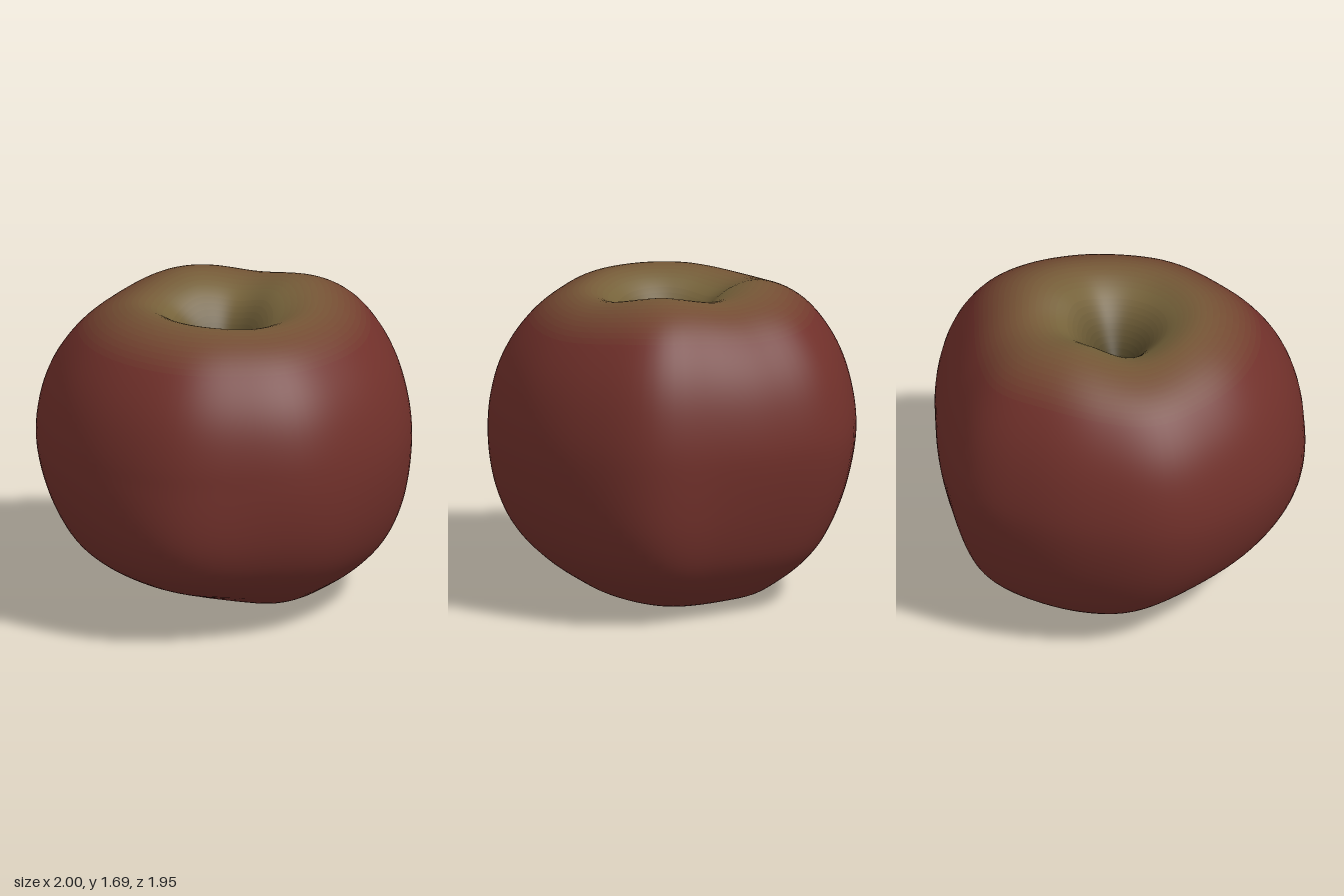
import * as THREE from 'three';

const SEG = 96, RINGS = 90;
const smooth = THREE.MathUtils.smoothstep;

// Smooth periodic lookup of values spaced evenly round the fruit (from +x towards +z)
function around(values, angle) {
  const n = values.length;
  const t = (angle / (2 * Math.PI)) * n;
  const i = Math.floor(t), f = t - i;
  const v = k => values[(i + k + n) % n];
  return v(0) + 0.5 * f * (v(1) - v(-1) + f * (2 * v(-1) - 5 * v(0) + 4 * v(1) - v(2)
    + f * (3 * (v(0) - v(1)) + v(2) - v(-1))));
}

// Lumpy outline at the waist, top rim height, bottom lobe height, fullness of the lower flank
const OUTLINE = [1, 0.98, 0.965, 0.95, 0.965, 0.96, 1.01, 1.01,
  1, 0.99, 1.01, 0.975, 0.975, 1.007, 0.937, 0.925];
const RIM = [1.69, 1.63, 1.62, 1.64, 1.64, 1.615, 1.675, 1.645];
const LOBES = [0.025, 0.04, 0.045, 0.09, 0.085, 0, 0.015, 0.03];
const FLANK = [0.02, 0, 0.05, 0.13, 0.03, 0, -0.02, -0.05];

// Half section from the bottom hollow, over the waist, into the stem hollow
const PROFILE = [
  [0.001, 0.14], [0.06, 0.13], [0.14, 0.085], [0.24, 0.03], [0.35, 0], [0.46, 0.025],
  [0.57, 0.09], [0.7, 0.19], [0.83, 0.34], [0.945, 0.58], [1, 0.88], [0.965, 1.15],
  [0.88, 1.36], [0.74, 1.54], [0.6, 1.63], [0.46, 1.66], [0.32, 1.61], [0.2, 1.5],
  [0.11, 1.37], [0.05, 1.28], [0.001, 1.24],
];

function createModel() {
  const group = new THREE.Group();
  group.name = 'apple';

  const section = new THREE.CatmullRomCurve3(
    PROFILE.map(([r, y]) => new THREE.Vector3(r, y, 0))).getSpacedPoints(RINGS);

  // Rings of the body, shaped by the outline, rim, lobes and flank
  const positions = [];
  let lowest = Infinity;
  for (const { x: q, y: h } of section) {
    const low = 1 - smooth(h, 0, 0.9), high = smooth(h, 0.9, 1.6);
    const bottom = 1 - smooth(h, 0, 0.45);
    const flank = smooth(q, 0.35, 0.7) * (1 - smooth(h, 0.35, 0.95));
    const off = smooth(q, 0, 0.35);
    const slide = smooth(h, 0.9, 1.2) * (1 - smooth(q, 0.2, 0.6));
    for (let j = 0; j < SEG; j++) {
      const a = (j / SEG) * 2 * Math.PI;
      const r = q * THREE.MathUtils.lerp(0.97, around(OUTLINE, a), smooth(q, 0.2, 0.8))
        * (1 + flank * around(FLANK, a));
      const y = h + off * (bottom * around(LOBES, a) + high * (around(RIM, a) - 1.66));
      positions.push(r * Math.cos(a) + 0.09 * low - 0.03 * slide, y,
        r * Math.sin(a) - 0.04 * low + 0.02 * slide);
      lowest = Math.min(lowest, y);
    }
  }
  const body = new THREE.BufferGeometry();
  body.setAttribute('position', new THREE.Float32BufferAttribute(positions, 3));
  body.translate(0, -lowest, 0);

  // Faces between ring "from" and ring "to"
  const faces = (from, to) => {
    const index = [];
    for (let i = from; i < to; i++) {
      for (let j = 0; j < SEG; j++) {
        const k = (j + 1) % SEG;
        const a = i * SEG + j, c = i * SEG + k;
        index.push(a, a + SEG, c, c, a + SEG, c + SEG);
      }
    }
    return index;
  };
  body.setIndex(faces(0, RINGS));
  body.computeVertexNormals();

  const addBand = (name, from, to, color) => {
    const geometry = body.clone();
    geometry.setIndex(faces(from, to));
    const mesh = new THREE.Mesh(geometry, new THREE.MeshStandardMaterial({ color }));
    mesh.name = name;
    group.add(mesh);
  };

  // Red skin fading in narrow bands to the olive stem hollow
  const red = new THREE.Color(0x70302a), olive = new THREE.Color(0x75623a);
  const dark = new THREE.Color(0x2e2a16);
  const shoulder = section.findIndex(p => p.y > 1 && p.x < 0.8);
  const lip = section.findIndex(p => p.y > 1 && p.x < 0.3);
  addBand('skin', 0, shoulder, red);
  for (let i = shoulder; i < lip; i++) {
    const t = (i - shoulder + 1) / (lip - shoulder);
    addBand('shoulder', i, i + 1, red.clone().lerp(olive, t));
  }
  for (let i = lip; i < RINGS; i++) {
    addBand('stemHollow', i, i + 1, olive.clone().lerp(dark, (i - lip) / (RINGS - lip)));
  }

  // Dried sepals in the bottom hollow
  const calyx = new THREE.Group();
  calyx.name = 'calyx';
  calyx.position.set(0.08, 0.14, -0.07);
  const sepalShape = new THREE.ConeGeometry(0.035, 0.09, 6).scale(1, 1, 0.35).rotateX(Math.PI)
    .translate(0, -0.045, 0).rotateX(-0.6).translate(0, 0, 0.02);
  const sepalMaterial = new THREE.MeshStandardMaterial({ color: 0x6e5c3e });
  for (let i = 0; i < 5; i++) {
    const sepal = new THREE.Mesh(sepalShape, sepalMaterial);
    sepal.name = 'sepal';
    sepal.rotation.y = (i / 5) * 2 * Math.PI;
    calyx.add(sepal);
  }
  group.add(calyx);
  return group;
}

export { createModel };
